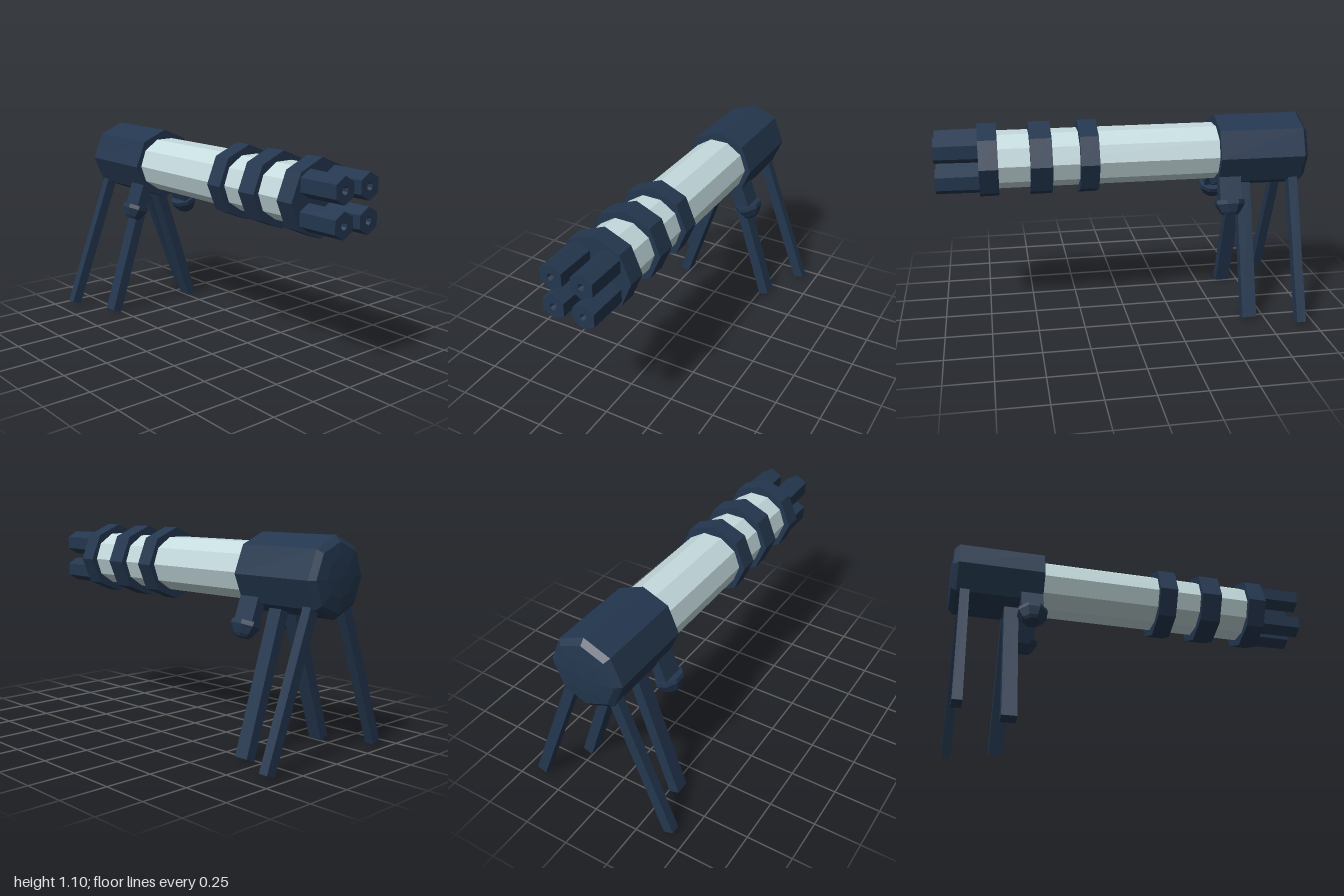
import * as THREE from 'three';

const AXIS_Y = 0.9;

export function createModel() {
  const model = new THREE.Group();
  const navy = new THREE.MeshStandardMaterial({ color: 0x24374f });
  navy.name = 'dark navy metal';
  const pale = new THREE.MeshStandardMaterial({ color: 0xc5dbde });
  pale.name = 'pale blue casing';
  navy.flatShading = pale.flatShading = true;

  const add = (name, geometry, material, parent = model) => {
    const mesh = new THREE.Mesh(geometry, material);
    mesh.name = name;
    parent.add(mesh);
    return mesh;
  };

  // Faceted solid turned about the z axis; profile rows are [radius, z], z rising
  const turned = (profile, sides, twist = 0) =>
    new THREE.LatheGeometry(profile.map(([r, z]) => new THREE.Vector2(r, z)), sides)
      .rotateY(twist).rotateX(Math.PI / 2);

  // Rear housing with bevelled, slightly domed back
  add('rearHousing', turned([
    [0, -1], [0.1, -0.996], [0.17, -0.988], [0.2, -0.962], [0.2, -0.5], [0, -0.5],
  ], 8), navy).position.y = AXIS_Y;

  // Ten-sided casing, a little flattened
  const casing = add('casing', turned([[0.168, -0.52], [0.168, 0.7]], 10, Math.PI / 2), pale);
  casing.position.y = AXIS_Y + 0.002;
  casing.scale.y = 0.91;

  // Clamping rings, the last one being the muzzle plate
  [['rearRing', 0.15, 0.25], ['middleRing', 0.395, 0.51], ['muzzlePlate', 0.675, 0.775]]
    .forEach(([name, z0, z1]) => {
      add(name, turned([[0, z0], [0.2, z0], [0.2, z1], [0, z1]], 8), navy).position.y = AXIS_Y;
    });

  // Four six-sided barrels with a dimpled bore
  const barrelGeo = turned([[0.071, 0.76], [0.068, 1], [0.021, 1], [0.012, 0.975], [0, 0.975]], 6);
  for (const sx of [-1, 1]) {
    for (const sy of [-1, 1]) {
      add('barrel', barrelGeo, navy).position.set(sx * 0.083, AXIS_Y + 0.001 + sy * 0.082, 0);
    }
  }

  // Square bar between two points of the x-y plane at a given z
  const bar = (name, x0, y0, x1, y1, width, depth, z) => {
    const length = Math.hypot(x1 - x0, y1 - y0);
    const mesh = add(name, new THREE.BoxGeometry(width, length, depth), navy);
    mesh.position.set((x0 + x1) / 2, (y0 + y1) / 2, z);
    mesh.rotation.z = Math.atan2(x0 - x1, y1 - y0);
  };

  // Flared knob: straight octagonal rim over a tapered foot
  const knobGeo = new THREE.LatheGeometry([
    [0, -0.045], [0.04, -0.045], [0.055, -0.03], [0.08, 0.012], [0.08, 0.035], [0, 0.038],
  ].map(([r, y]) => new THREE.Vector2(r, y)), 8).rotateY(Math.PI / 8).scale(0.92, 1, 1.04);

  for (const [side, s] of [['left', 1], ['right', -1]]) {
    bar(side + 'FrontLeg', s * 0.283, 0.012, s * 0.03, 0.78, 0.058, 0.078, -0.66);
    bar(side + 'RearLeg', s * 0.406, 0.019, s * 0.105, 0.8, 0.057, 0.05, -0.917);
    bar(side + 'KnobStem', s * 0.178, 0.65, s * 0.105, 0.84, 0.058, 0.12, -0.56);
    const knob = add(side + 'Knob', knobGeo, navy);
    knob.position.set(s * 0.185, 0.632, -0.557);
    knob.rotation.z = s * 0.365;
  }

  return model;
}
